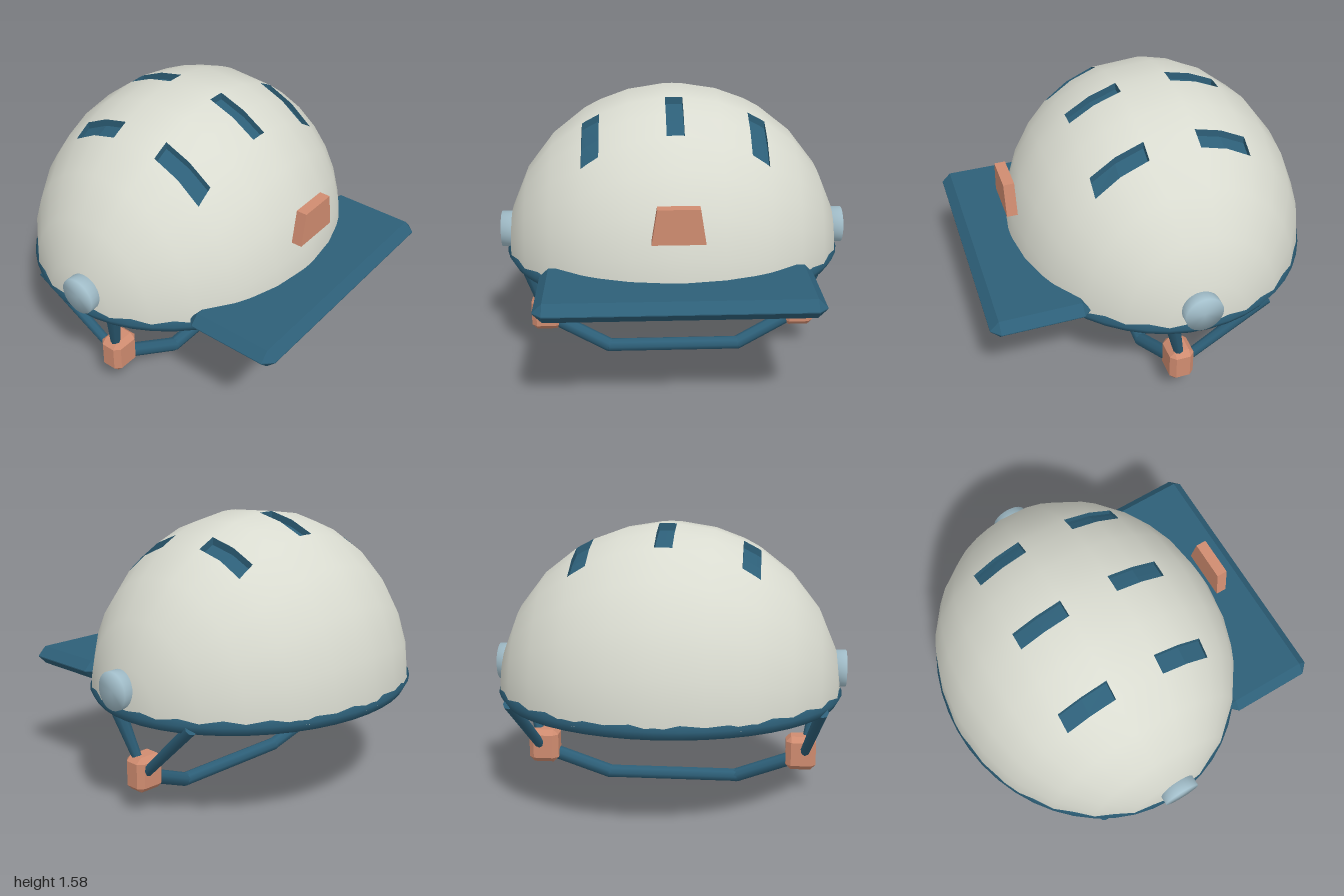
import * as THREE from 'three';
import { mergeVertices } from 'three/addons/utils/BufferGeometryUtils.js';
import { ConvexGeometry } from 'three/addons/geometries/ConvexGeometry.js';

const paint = (name, color, side = THREE.FrontSide) => {
  const m = new THREE.MeshStandardMaterial({ color, side });
  m.name = name;
  return m;
};

// Dome ellipsoid: half sizes, base height and centre
const RX = 0.97, RY = 0.96, RZ = 0.85, BASE = 0.64, ZC = -0.125;

// Box with every edge chamfered by b
function bevelBox(w, h, d, b) {
  const x = w / 2, y = h / 2, z = d / 2, pts = [];
  for (const i of [-1, 1]) for (const j of [-1, 1]) for (const k of [-1, 1]) {
    pts.push(new THREE.Vector3(i * x, j * (y - b), k * (z - b)));
    pts.push(new THREE.Vector3(i * (x - b), j * y, k * (z - b)));
    pts.push(new THREE.Vector3(i * (x - b), j * (y - b), k * z));
  }
  return new ConvexGeometry(pts);
}

// Dome laid out in slices along x, with the six vent openings left out;
// returns the shell and the recessed walls and floors of the vents
function domeGeometries() {
  const xs = [-0.508, -0.412, -0.048, 0.048, 0.412, 0.508];
  for (let k = -6; k <= 6; k++) xs.push(RX * Math.sin(k * Math.PI / 12));
  xs.sort((a, b) => a - b);
  const slotZ = [0.475, 0.185, -0.095, -0.38], splits = [4, 2, 1, 2, 4];
  const ratio = x => Math.sqrt(Math.max(0, 1 - (x / RX) ** 2));
  const cols = [];
  splits.forEach((n, band) => {
    for (let s = 0; s < n; s++) cols.push([band, s / n]);
  });
  cols.push([4, 1]);

  const point = (i, j, drop = 0) => {
    const f = ratio(xs[i]), limit = Math.max(f, ratio(0.508)) * RZ;
    const angles = [0, ...slotZ.map(z => Math.acos(z / limit)), Math.PI];
    const [band, t] = cols[j];
    const a = THREE.MathUtils.lerp(angles[band], angles[band + 1], t);
    return [xs[i], BASE + RY * f * Math.sin(a) - drop, ZC + RZ * f * Math.cos(a)];
  };
  const isVent = (i, j) => {
    const x = Math.abs((xs[i] + xs[i + 1]) / 2);
    return cols[j][0] % 2 === 1 && (x < 0.048 || (x > 0.412 && x < 0.508));
  };

  const pos = [], nor = [], index = [], vent = [], n = cols.length;
  const quad = (a, b, c, d) => vent.push(...a, ...b, ...c, ...b, ...d, ...c);
  for (let i = 0; i < xs.length; i++) for (let j = 0; j < n; j++) {
    const p = point(i, j);
    pos.push(...p);
    nor.push(...new THREE.Vector3(p[0] / RX ** 2, (p[1] - BASE) / RY ** 2, (p[2] - ZC) / RZ ** 2).normalize());
    if (i === xs.length - 1 || j === n - 1) continue;
    const a = i * n + j, b = a + n;
    if (!isVent(i, j)) {
      index.push(a, b, a + 1, b, b + 1, a + 1);
      continue;
    }
    const D = 0.04;
    quad(point(i, j, D), point(i + 1, j, D), point(i, j + 1, D), point(i + 1, j + 1, D));
    const wall = (i0, j0, i1, j1) => quad(point(i0, j0), point(i1, j1), point(i0, j0, D), point(i1, j1, D));
    if (!isVent(i - 1, j)) wall(i, j, i, j + 1);
    if (!isVent(i + 1, j)) wall(i + 1, j, i + 1, j + 1);
    if (!isVent(i, j - 1)) wall(i, j, i + 1, j);
    if (!isVent(i, j + 1)) wall(i, j + 1, i + 1, j + 1);
  }
  const shell = new THREE.BufferGeometry();
  shell.setAttribute('position', new THREE.Float32BufferAttribute(pos, 3));
  shell.setAttribute('normal', new THREE.Float32BufferAttribute(nor, 3));
  shell.setIndex(index);
  const vents = new THREE.BufferGeometry();
  vents.setAttribute('position', new THREE.Float32BufferAttribute(vent, 3));
  vents.computeVertexNormals();
  return { shell, vents };
}

export function createModel() {
  const group = new THREE.Group();
  group.name = 'helmet';
  const shellMat = paint('shell grey', 0xd9dbd0);
  const blue = paint('dark blue', 0x2d5f78, THREE.DoubleSide);
  const copper = paint('copper', 0xd08c70);
  const pale = paint('pale blue', 0xa3bfcb);

  const add = (name, geo, mat, x = 0, y = 0, z = 0) => {
    const m = new THREE.Mesh(geo, mat);
    m.name = name;
    m.position.set(x, y, z);
    group.add(m);
    return m;
  };
  // Round strap between two points, with a radius at each end
  const strap = (name, p, q, r0, r1) => {
    const a = new THREE.Vector3(...p), b = new THREE.Vector3(...q);
    const dir = b.clone().sub(a);
    const m = add(name, new THREE.CylinderGeometry(r1, r0, dir.length(), 8), blue);
    m.position.copy(a).add(b).multiplyScalar(0.5);
    m.quaternion.setFromUnitVectors(new THREE.Vector3(0, 1, 0), dir.normalize());
  };

  // Shell, vents and lining
  const { shell, vents } = domeGeometries();
  add('shell', shell, shellMat);
  add('vents', vents, blue);
  const liner = add('liner', new THREE.SphereGeometry(1, 32, 12, 0, Math.PI * 2, 0, Math.PI / 2), blue, 0, BASE, ZC);
  liner.scale.set(RX * 0.93, RY * 0.93, RZ * 0.93);

  // Rim around the opening
  const rim = add('rim', new THREE.TorusGeometry(0.922, 0.055, 6, 48).rotateX(Math.PI / 2), blue, 0, 0.65, ZC);
  rim.scale.z = RZ / RX;

  // Visor
  add('visor', bevelBox(1.485, 0.105, 0.545, 0.05), blue, 0, 0.692, 0.71);

  // Front badge
  const plate = new THREE.Shape([[-0.14, 0.97], [0.14, 0.97], [0.11, 1.16], [-0.11, 1.16]].map(p => new THREE.Vector2(...p)));
  add('badge', new THREE.ExtrudeGeometry(plate, { depth: 0.06, bevelEnabled: false }), copper, 0, 0, 0.685);

  // Side pivot with soft shading across its edge
  let pivot = new THREE.CylinderGeometry(0.105, 0.105, 0.1, 24).rotateZ(Math.PI / 2);
  pivot.deleteAttribute('normal');
  pivot.deleteAttribute('uv');
  pivot = mergeVertices(pivot);
  pivot.computeVertexNormals();

  for (const s of [1, -1]) {
    add('pivot', pivot, pale, s * 0.95, 0.765, -0.075);
    add('buckle', bevelBox(0.175, 0.2, 0.14, 0.03), copper, s * 0.762, 0.245, -0.033);
    strap('frontStrap', [s * 0.79, 0.29, -0.03], [s * 0.875, 0.64, 0.055], 0.025, 0.043);
    strap('rearStrap', [s * 0.78, 0.23, -0.05], [s * 0.85, 0.63, -0.5], 0.028, 0.034);
    strap('chinSide', [s * 0.74, 0.21, -0.03], [s * 0.385, 0.05, 0.052], 0.04, 0.04);
    add('chinJoint', new THREE.SphereGeometry(0.04, 8, 6), blue, s * 0.385, 0.05, 0.052);
  }
  strap('chinStrap', [-0.385, 0.05, 0.052], [0.385, 0.05, 0.052], 0.04, 0.04);

  // Rest the straps on the ground
  group.children.forEach(c => { c.position.y -= 0.01; });
  return group;
}
